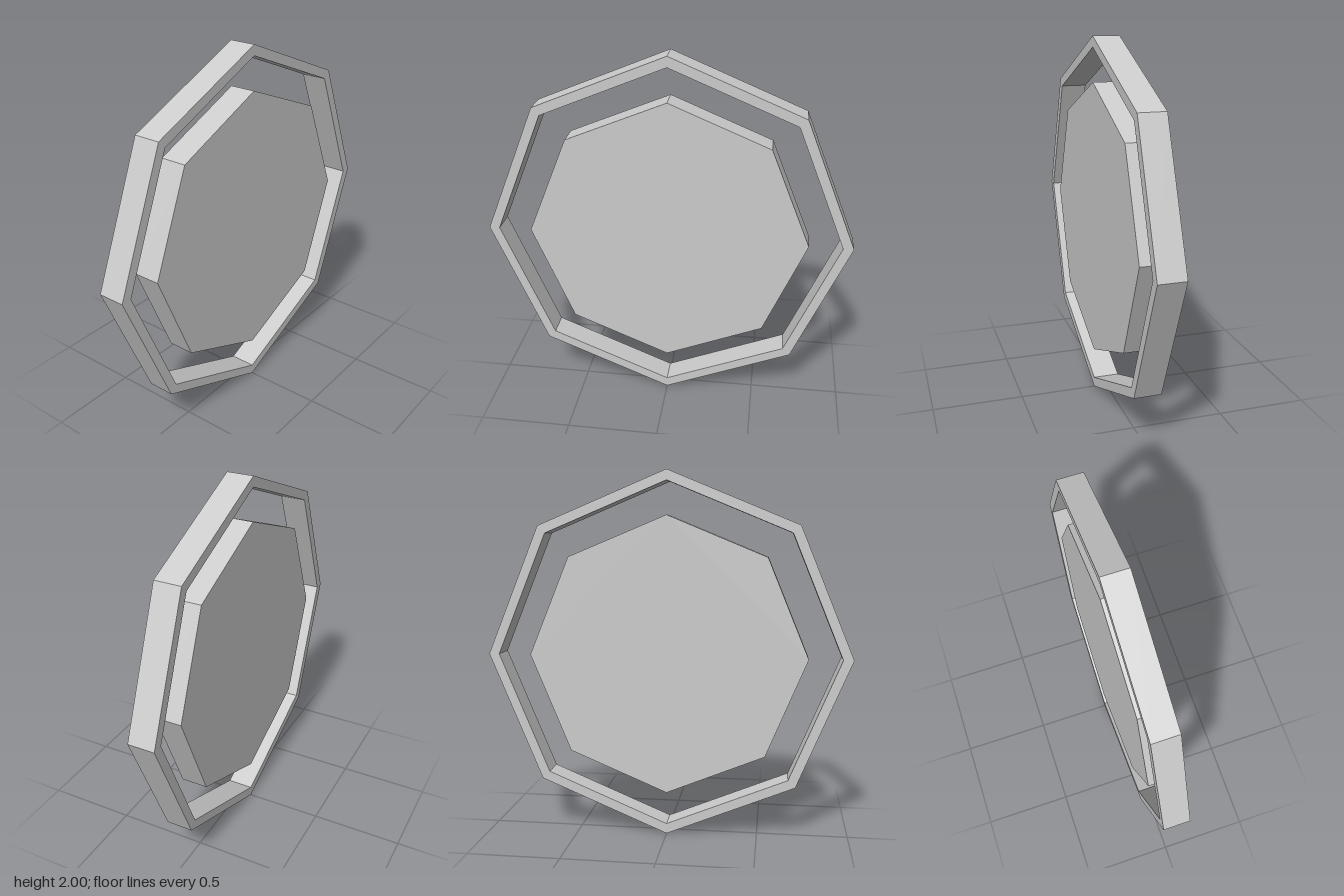
import * as THREE from 'three';

const SIDES = 8;
const DEPTH = 0.145;

// Regular octagon outline with a corner pointing straight up
function octagon(radius, Type = THREE.Shape) {
  const points = [];
  for (let i = 0; i < SIDES; i++) {
    const a = (i / SIDES) * Math.PI * 2;
    points.push(new THREE.Vector2(Math.cos(a) * radius, Math.sin(a) * radius));
  }
  return new Type(points);
}

// Flat slab extruded from a shape, centred on z = 0 and raised to stand on the ground
function slab(name, shape, material) {
  const geometry = new THREE.ExtrudeGeometry(shape, { depth: DEPTH, bevelEnabled: false });
  geometry.translate(0, 1, -DEPTH / 2);
  const mesh = new THREE.Mesh(geometry, material);
  mesh.name = name;
  return mesh;
}

export function createModel() {
  const group = new THREE.Group();
  group.name = 'octagonalSign';
  const material = new THREE.MeshStandardMaterial({ color: 0xcccccc, flatShading: true });

  // Thin outer frame
  const frame = octagon(1);
  frame.holes.push(octagon(0.943, THREE.Path));
  group.add(slab('outerFrame', frame, material));

  // Solid panel floating inside the frame, flush with it
  group.add(slab('innerPanel', octagon(0.763), material));

  return group;
}
